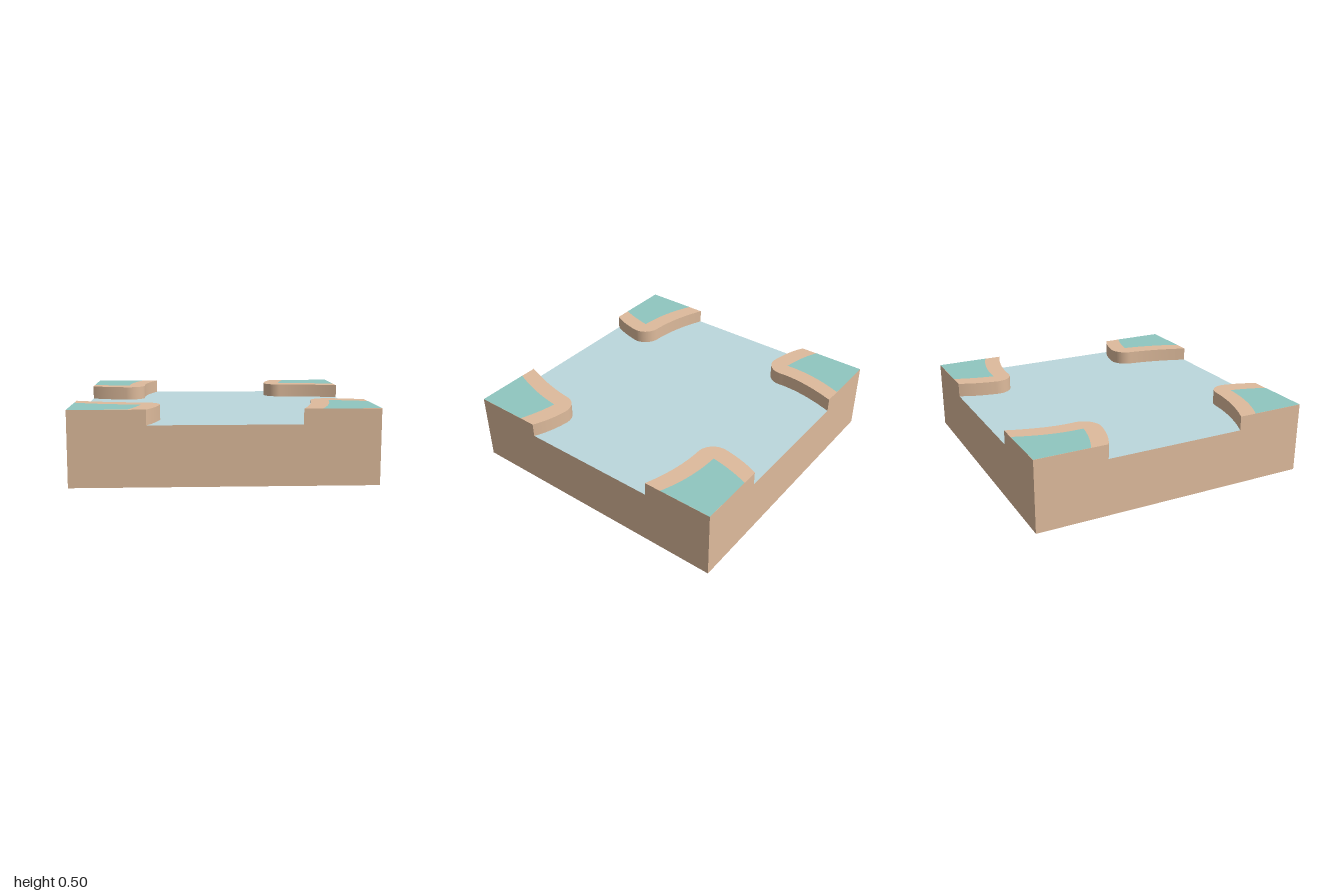
import * as THREE from 'three';
import { toCreasedNormals } from 'three/addons/utils/BufferGeometryUtils.js';

const BASE_H = 0.4, BANK_H = 0.1, RIM = 0.124;

const sand = new THREE.MeshStandardMaterial({ color: 0xdebb9c });
const water = new THREE.MeshStandardMaterial({ color: 0xbcd8dd });
const grass = new THREE.MeshStandardMaterial({ color: 0x8fc6c0 });

// One entry per corner: signs of x and z, then the grass tip and the control
// points of its two curved edges, all as distances |x|, |z| from the centre.
const corners = [
  { name: 'backRight', sx: -1, sz: -1, tip: [0.706, 0.532], c1: [0.72, 0.75], c2: [0.86, 0.555] },
  { name: 'backLeft', sx: 1, sz: -1, tip: [0.543, 0.709], c1: [0.565, 0.86], c2: [0.79, 0.71] },
  { name: 'frontRight', sx: -1, sz: 1, tip: [0.543, 0.74], c1: [0.57, 0.88], c2: [0.8, 0.725] },
  { name: 'frontLeft', sx: 1, sz: 1, tip: [0.74, 0.548], c1: [0.715, 0.78], c2: [0.87, 0.565] },
];

// Unit normal of a to b, pointing out towards the water
function outward(a, b) {
  const d = b.clone().sub(a).normalize();
  return new THREE.Vector2(d.y, -d.x);
}

// Mirror an outline into its corner
function placedShape(path, { sx, sz }) {
  const points = path.getPoints(20).map((p) => new THREE.Vector2(sx * p.x, -sz * p.y));
  return new THREE.Shape(points);
}

function mesh(name, geometry, material, y) {
  const m = new THREE.Mesh(geometry, material);
  m.name = name;
  m.position.y = y;
  return m;
}

function createCorner(corner) {
  const [tip, c1, c2] = [corner.tip, corner.c1, corner.c2].map((p) => new THREE.Vector2(...p));
  const start = new THREE.Vector2(0.62, 1);
  const end = new THREE.Vector2(1, 0.62);

  // Grass outline with a sharp tip
  const inner = new THREE.Path();
  inner.moveTo(start.x, start.y);
  inner.quadraticCurveTo(c1.x, c1.y, tip.x, tip.y);
  inner.quadraticCurveTo(c2.x, c2.y, end.x, end.y);
  inner.lineTo(1, 1);

  // Bank outline: the same edges pushed outward, with a rounded tip
  const o1 = c1.clone().addScaledVector(outward(start, tip), RIM);
  const o2 = c2.clone().addScaledVector(outward(tip, end), RIM);
  const n1 = outward(c1, tip);
  const n2 = outward(tip, c2);
  const outer = new THREE.Path();
  outer.moveTo(0.5, 1);
  outer.quadraticCurveTo(o1.x, o1.y, tip.x + RIM * n1.x, tip.y + RIM * n1.y);
  outer.absarc(tip.x, tip.y, RIM, n1.angle(), n2.angle(), false);
  outer.quadraticCurveTo(o2.x, o2.y, 1, 0.5);
  outer.lineTo(1, 1);

  const bankGeo = new THREE.ExtrudeGeometry(placedShape(outer, corner), {
    depth: BANK_H, bevelEnabled: false,
  }).rotateX(-Math.PI / 2);
  const grassGeo = new THREE.ShapeGeometry(placedShape(inner, corner)).rotateX(-Math.PI / 2);

  const group = new THREE.Group();
  group.name = corner.name + 'Corner';
  group.add(
    mesh('bank', toCreasedNormals(bankGeo, 0.5), sand, BASE_H),
    mesh('grass', grassGeo, grass, BASE_H + BANK_H + 0.001),
  );
  return group;
}

export function createModel() {
  const model = new THREE.Group();
  model.name = 'riverCrossingTile';

  // Base block, its top face left out for the water
  const block = new THREE.BoxGeometry(2, BASE_H, 2);
  block.setIndex([...block.index.array].filter((_, i) => i < 12 || i >= 18));
  block.clearGroups();
  model.add(mesh('base', block, sand, BASE_H / 2));

  // Water surface
  model.add(mesh('water', new THREE.PlaneGeometry(2, 2).rotateX(-Math.PI / 2), water, BASE_H));

  // Raised banks in the four corners
  corners.forEach((c) => model.add(createCorner(c)));
  return model;
}
